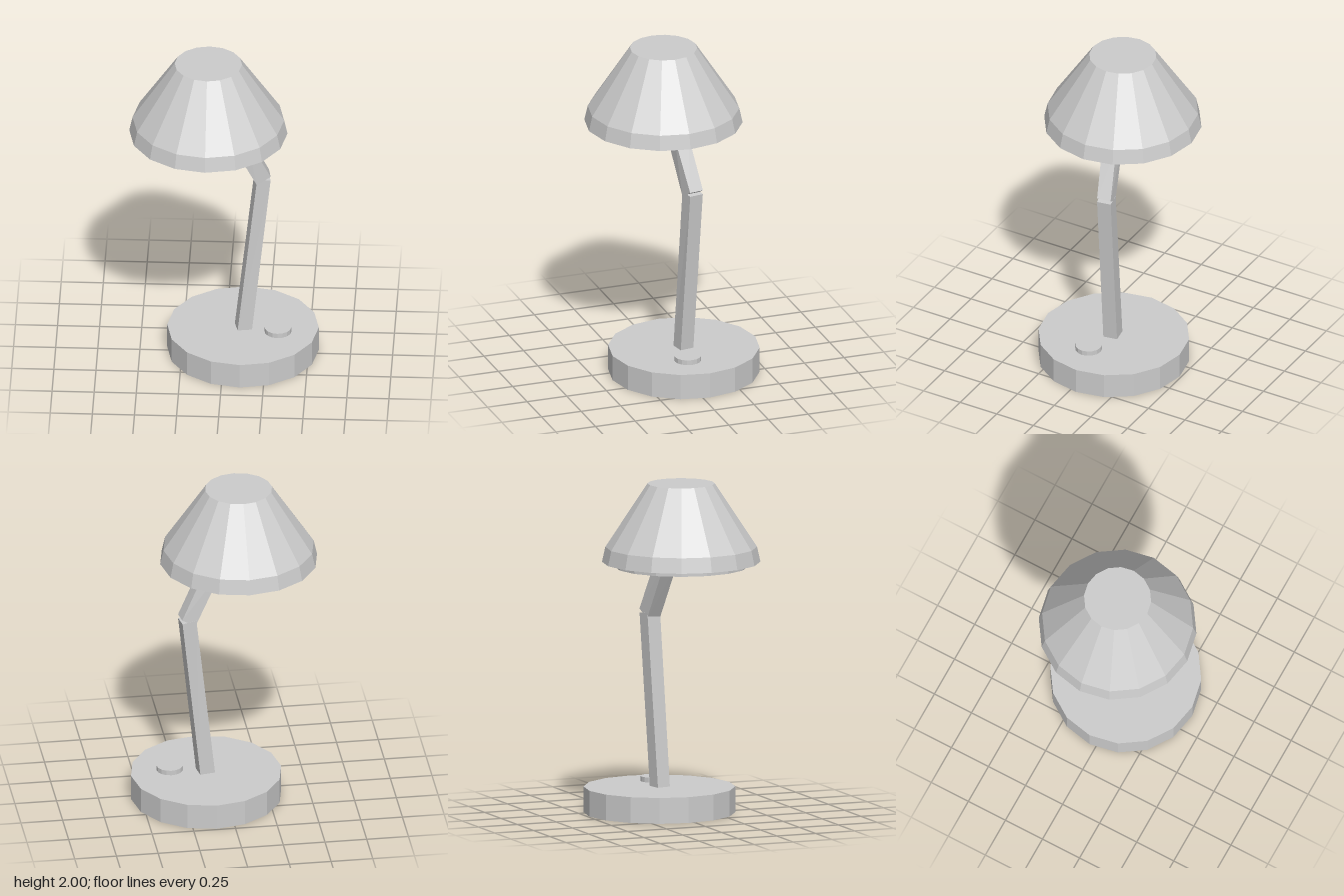
import * as THREE from 'three';

const SIDES = 16;

export function createModel() {
  const lamp = new THREE.Group();
  lamp.name = 'deskLamp';
  const grey = new THREE.MeshStandardMaterial({ color: 0xcccccc, flatShading: true });
  grey.name = 'light grey';

  const add = (name, geometry, x = 0, y = 0, z = 0) => {
    const mesh = new THREE.Mesh(geometry, grey);
    mesh.name = name;
    mesh.position.set(x, y, z);
    lamp.add(mesh);
  };

  // Upright disc given by its bottom and top heights
  const disc = (name, r, y0, y1, x, z) =>
    add(name, new THREE.CylinderGeometry(r, r, y1 - y0, SIDES), x, (y0 + y1) / 2, z);

  // Four-sided bar between two rings of corners:
  // front-left, front-right, back-right, back-left as seen from the front
  const bar = (name, bottom, top) => {
    const index = [4, 5, 6, 4, 6, 7, 0, 2, 1, 0, 3, 2];
    for (let i = 0; i < 4; i++) {
      const j = (i + 1) % 4;
      index.push(i, j, j + 4, i, j + 4, i + 4);
    }
    const indexed = new THREE.BufferGeometry();
    indexed.setAttribute('position', new THREE.Float32BufferAttribute([...bottom, ...top].flat(), 3));
    indexed.setIndex(index);
    const geometry = indexed.toNonIndexed();
    geometry.computeVertexNormals();
    add(name, geometry);
  };

  // Base and switch
  disc('base', 0.45, 0, 0.155, 0.11, -0.04);
  disc('switchButton', 0.08, 0.15, 0.185, 0.32, 0.012);

  // Arm in two bars that leave a small notch at the elbow
  bar('lowerArm',
    [[0.08, 0.15, 0.015], [0.165, 0.15, 0], [0.15, 0.15, -0.085], [0.06, 0.15, -0.07]],
    [[0.195, 1.19, 0], [0.275, 1.18, -0.02], [0.26, 1.18, -0.105], [0.175, 1.19, -0.09]]);
  bar('upperArm',
    [[0.195, 1.155, 0], [0.275, 1.205, -0.02], [0.262, 1.205, -0.105], [0.18, 1.155, -0.09]],
    [[0.022, 1.505, 0.04], [0.13, 1.505, 0.025], [0.12, 1.505, -0.065], [0.01, 1.505, -0.05]]);

  // Shade with a flared rim, and the diffuser below it
  const profile = [[0, 1.53], [0.47, 1.53], [0.45, 1.62], [0.2, 2], [0, 2]]
    .map(([r, y]) => new THREE.Vector2(r, y));
  add('shade', new THREE.LatheGeometry(profile, SIDES), -0.093, 0, 0.015);
  disc('diffuser', 0.395, 1.5, 1.54, -0.093, 0.015);

  return lamp;
}
